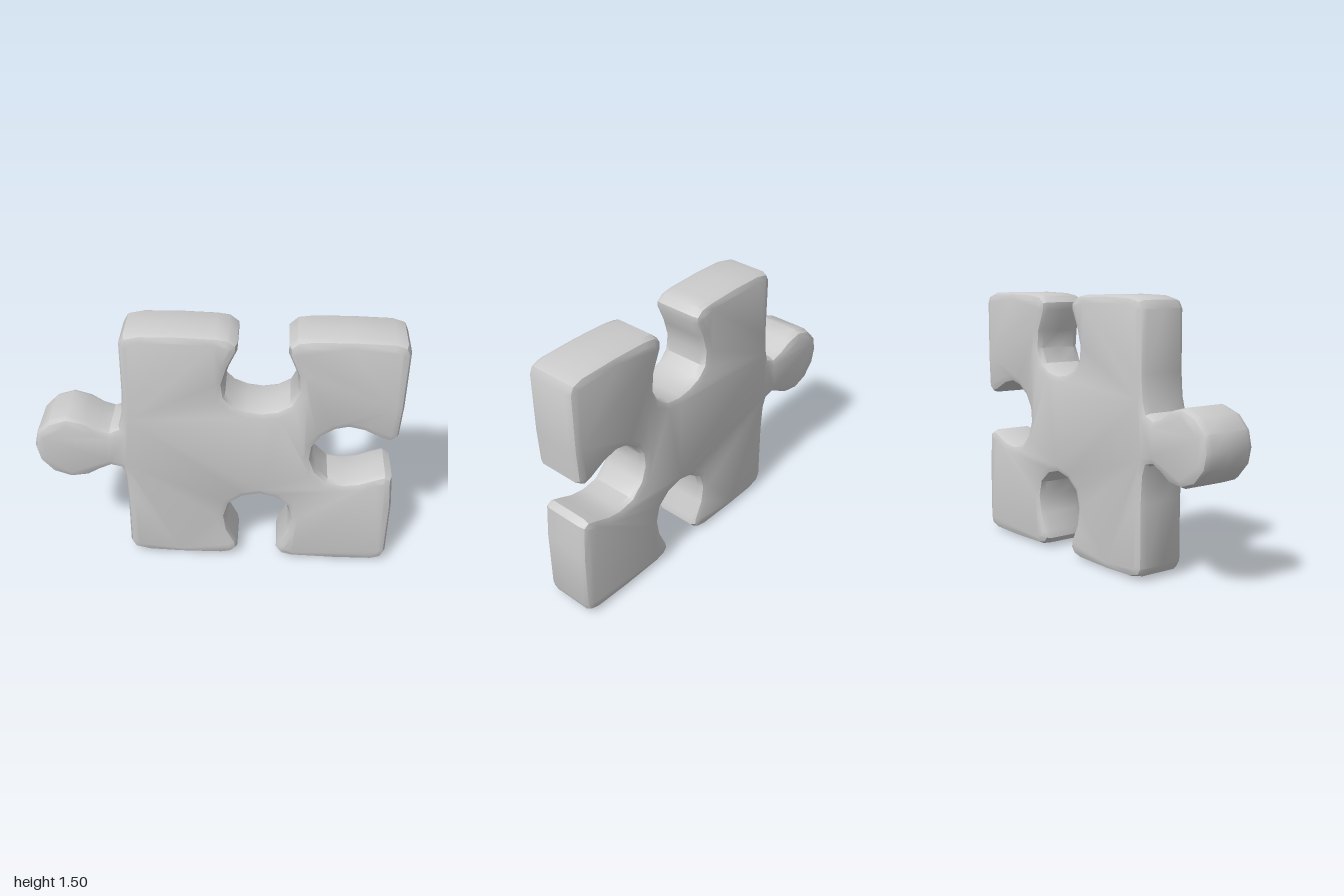
import * as THREE from 'three';
import { toCreasedNormals } from 'three/addons/utils/BufferGeometryUtils.js';

const THICKNESS = 0.3, BEVEL_DEPTH = 0.04, BEVEL_SIZE = 0.042;

// Outline sections [x, y], running clockwise from the top left corner
const topEdgeLeft = [[-0.5, 1.43], [-0.475, 1.475], [-0.39, 1.495], [-0.2, 1.5], [0, 1.495], [0.07, 1.485], [0.115, 1.45]];
const topSocket = [[0.115, 1.41], [0.07, 1.31], [0.042, 1.21], [0.052, 1.13], [0.1, 1.08], [0.17, 1.052], [0.25, 1.042],
  [0.33, 1.055], [0.4, 1.095], [0.44, 1.18], [0.43, 1.28], [0.38, 1.4]];
const topEdgeRight = [[0.38, 1.445], [0.42, 1.483], [0.5, 1.495], [0.7, 1.5], [0.92, 1.495], [0.98, 1.475], [1, 1.43]];
const sideSocket = [[1, 1.1], [0.99, 0.91], [0.95, 0.876], [0.9, 0.89], [0.8, 0.94], [0.72, 0.957], [0.65, 0.94], [0.58, 0.89],
  [0.537, 0.82], [0.53, 0.74], [0.56, 0.655], [0.63, 0.585], [0.72, 0.57], [0.8, 0.582], [0.88, 0.615], [0.945, 0.638], [0.985, 0.615], [1, 0.42]];
const bottomEdgeRight = [[1, 0.07], [0.98, 0.025], [0.92, 0.005], [0.7, 0], [0.45, 0.005], [0.39, 0.02], [0.36, 0.055]];
const bottomSocket = [[0.37, 0.1], [0.415, 0.2], [0.432, 0.3], [0.41, 0.39], [0.34, 0.448], [0.25, 0.47],
  [0.16, 0.448], [0.085, 0.39], [0.06, 0.3], [0.075, 0.2], [0.125, 0.1]];
const bottomEdgeLeft = [[0.132, 0.055], [0.1, 0.02], [0.04, 0.005], [-0.2, 0], [-0.39, 0.005], [-0.475, 0.025], [-0.5, 0.07]];
const knob = [[-0.5, 0.42], [-0.51, 0.57], [-0.53, 0.625], [-0.58, 0.637], [-0.64, 0.61], [-0.71, 0.57], [-0.81, 0.556],
  [-0.91, 0.59], [-0.98, 0.67], [-1, 0.76], [-0.98, 0.85], [-0.91, 0.925], [-0.81, 0.96], [-0.71, 0.935], [-0.64, 0.893],
  [-0.58, 0.877], [-0.53, 0.9], [-0.51, 0.97], [-0.5, 1.1]];

export function createModel() {
  const outline = [topEdgeLeft, topSocket, topEdgeRight, sideSocket, bottomEdgeRight, bottomSocket, bottomEdgeLeft, knob].flat();
  const shape = new THREE.Shape(outline.map(([x, y]) => new THREE.Vector2(x, y)));

  // Rounded slab, bevelled inwards so the outline stays the silhouette
  const depth = THICKNESS - 2 * BEVEL_DEPTH;
  const geometry = new THREE.ExtrudeGeometry(shape, {
    depth, steps: 2, bevelEnabled: true, bevelThickness: BEVEL_DEPTH,
    bevelSize: BEVEL_SIZE, bevelOffset: -BEVEL_SIZE, bevelSegments: 2,
  });
  geometry.translate(0, 0, -depth / 2);

  // The knob swells a little thicker than the slab
  const p = geometry.attributes.position;
  for (let i = 0; i < p.count; i++) {
    const swell = THREE.MathUtils.smoothstep(-p.getX(i), 0.55, 0.85);
    p.setZ(i, p.getZ(i) * (1 + 0.1 * swell));
  }

  const piece = new THREE.Mesh(
    toCreasedNormals(geometry, 0.6),
    new THREE.MeshStandardMaterial({ color: 0xcccccc }),
  );
  piece.name = 'puzzlePiece';

  const group = new THREE.Group();
  group.name = 'jigsawPiece';
  group.add(piece);
  return group;
}
